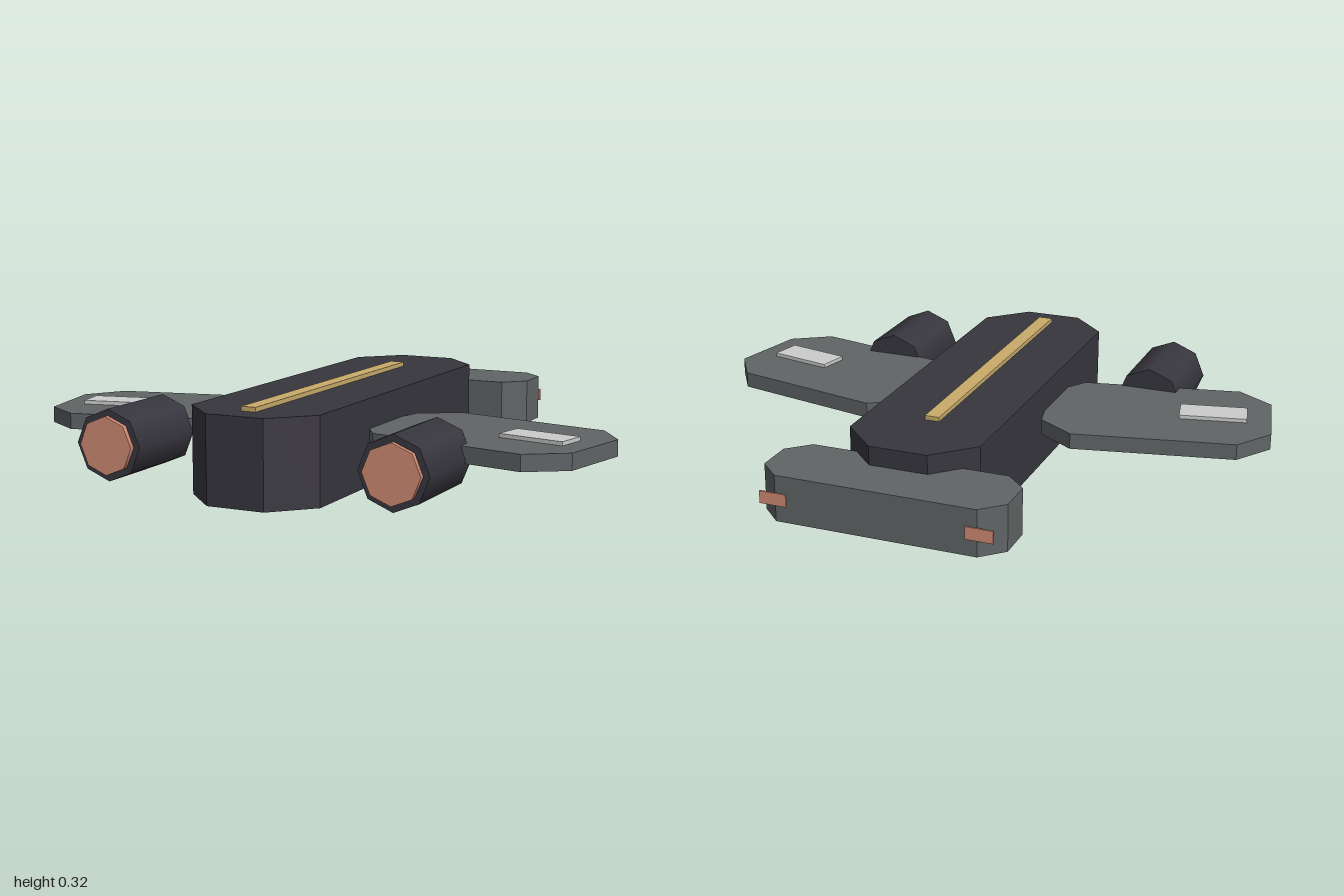
import * as THREE from 'three';

const mat = (name, color) => {
  const m = new THREE.MeshStandardMaterial({ color });
  m.name = name;
  return m;
};

export function createModel() {
  const hullDark = mat('hullDark', 0x38363e);
  const wingGrey = mat('wingGrey', 0x606466);
  const gold = mat('gold', 0xc9ab6a);
  const panelLight = mat('panelLight', 0xcccccc);
  const copper = mat('copper', 0xd08b74);

  const group = new THREE.Group();
  const add = (name, geometry, material, x = 0, y = 0, z = 0) => {
    const mesh = new THREE.Mesh(geometry, material);
    mesh.name = name;
    mesh.position.set(x, y, z);
    group.add(mesh);
    return mesh;
  };

  // Flat slab from an [x, z] outline, between two heights
  const slab = (outline, bottom, top) => {
    const shape = new THREE.Shape(outline.map(([x, z]) => new THREE.Vector2(x, z)));
    return new THREE.ExtrudeGeometry(shape, { depth: top - bottom, bevelEnabled: false })
      .rotateX(Math.PI / 2)
      .translate(0, top, 0);
  };
  // Rectangle outline with cut corners
  const cutRect = (hx, z0, z1, cx, cz) => [
    [-hx + cx, z0], [hx - cx, z0], [hx, z0 + cz], [hx, z1 - cz],
    [hx - cx, z1], [-hx + cx, z1], [-hx, z1 - cz], [-hx, z0 + cz],
  ];

  // Fuselage, spine stripe and tail block
  add('fuselage', slab(cutRect(0.226, -0.635, 0.818, 0.126, 0.127), 0.022, 0.31), hullDark);
  add('spineStripe', new THREE.BoxGeometry(0.05, 0.02, 1.095), gold, 0, 0.315, 0.182);
  add('tailBlock', slab(cutRect(0.41, -0.817, -0.55, 0.072, 0.07), 0.089, 0.246), wingGrey);

  const wing = [
    [0.375, -0.075], [0.915, 0.04], [1, 0.17], [0.942, 0.44],
    [0.81, 0.525], [0.27, 0.41], [0.185, 0.28], [0.243, 0.01],
  ];

  for (const s of [1, -1]) {
    const side = s > 0 ? 'left' : 'right';

    // Swept wing with its light panel
    add(side + 'Wing', slab(wing.map(([x, z]) => [s * x, z]), 0.157, 0.211), wingGrey);
    const panel = add(side + 'WingPanel', new THREE.BoxGeometry(0.23, 0.016, 0.108),
      panelLight, s * 0.777, 0.216, 0.27);
    panel.rotation.y = -s * 0.21;

    // Eight-sided engine pod and glowing cap
    add(side + 'Engine', new THREE.CylinderGeometry(0.118, 0.118, 0.325, 8).rotateX(Math.PI / 2),
      hullDark, s * 0.5, 0.167, 0.5925);
    add(side + 'EngineCap', new THREE.CylinderGeometry(0.096, 0.096, 0.04, 8).rotateX(Math.PI / 2),
      copper, s * 0.5, 0.167, 0.752);

    // Tail light plate overhanging the cut corner
    add(side + 'TailLight', new THREE.BoxGeometry(0.092, 0.042, 0.006), copper, s * 0.346, 0.165, -0.818);

    // Belly skid
    add(side + 'Skid', new THREE.BoxGeometry(0.11, 0.026, 0.635), wingGrey, s * 0.11, 0.013, 0.052);
  }

  // Small belly studs
  for (const z of [-0.15, 0.05, 0.25]) {
    add('bellyStud', new THREE.CylinderGeometry(0.011, 0.011, 0.012, 8), gold, 0, 0.02, z);
  }

  return group;
}
